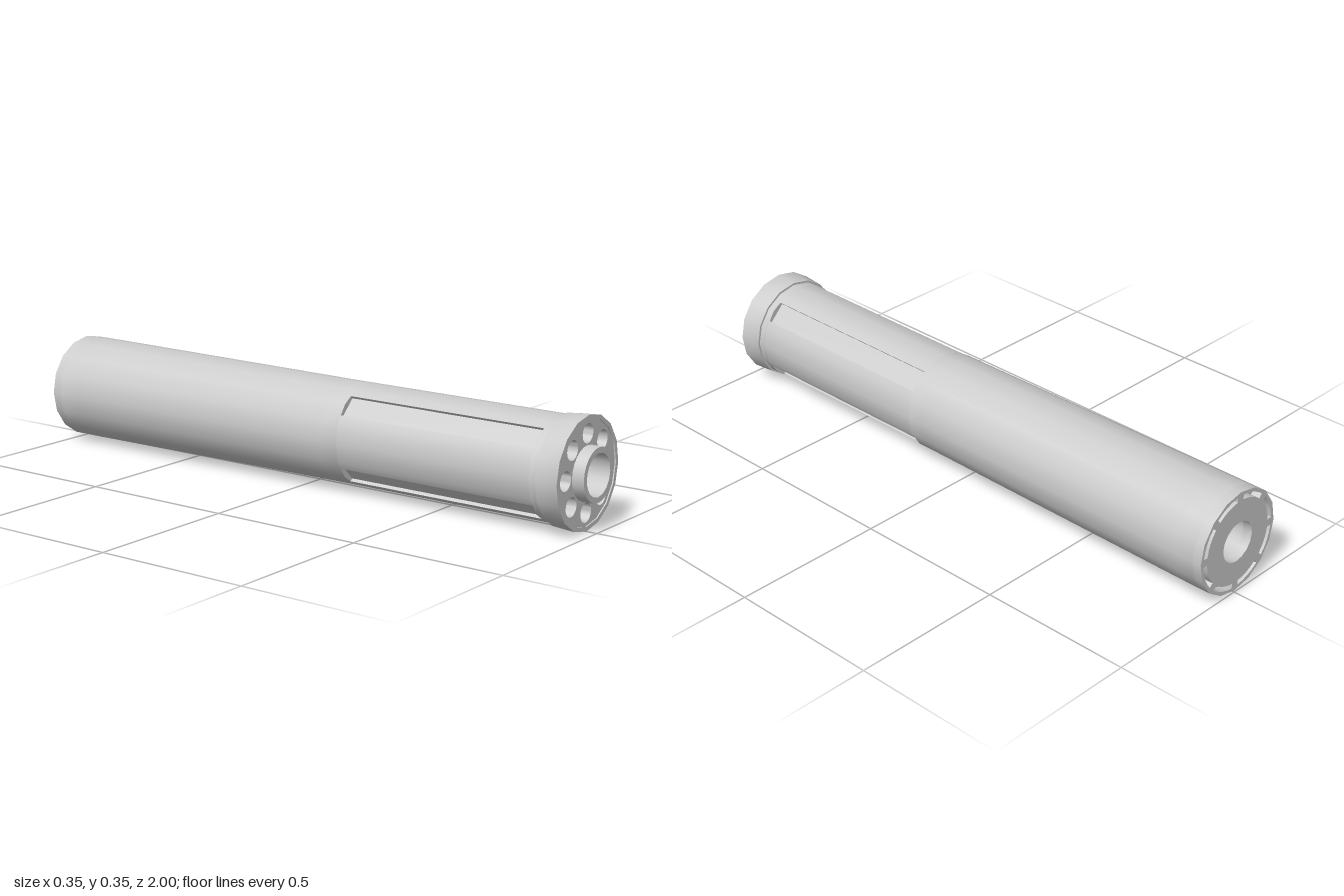
import * as THREE from 'three';
import { toCreasedNormals } from 'three/addons/utils/BufferGeometryUtils.js';

const SIDES = 16, BORE = 0.066, BODY = 0.161, REAR = 0.168;
const material = new THREE.MeshStandardMaterial({ color: 0xcccccc });
const polar = (r, deg) => {
  const a = THREE.MathUtils.degToRad(deg);
  return new THREE.Vector2(r * Math.cos(a), r * Math.sin(a));
};

// Regular polygon outline around (cx, cy)
const ring = (r, n = SIDES, centre = new THREE.Vector2()) =>
  Array.from({ length: n }, (_, i) => polar(r, (i * 360) / n).add(centre));

// Turned part along z; profile is [radius, z] running back to front for outward faces
function turned(name, profile, sides = SIDES) {
  const geo = new THREE.LatheGeometry(profile.map(([r, z]) => new THREE.Vector2(r, z)), sides);
  geo.rotateX(Math.PI / 2);
  return part(name, toCreasedNormals(geo, 0.6));
}

// Outline with holes, extruded from z0 to z1
function plate(name, outline, holes, z0, z1) {
  const shape = new THREE.Shape(outline);
  shape.holes = holes.map((pts) => new THREE.Path(pts));
  const geo = new THREE.ExtrudeGeometry(shape, { depth: z1 - z0, bevelEnabled: false });
  geo.translate(0, 0, z0);
  return part(name, toCreasedNormals(geo, 0.6));
}

function part(name, geometry) {
  const mesh = new THREE.Mesh(geometry, material);
  mesh.name = name;
  return mesh;
}

// Give near-radial faces on the body skin the same round shading as the turned parts
function roundShading(mesh, minRadius) {
  const p = mesh.geometry.attributes.position, n = mesh.geometry.attributes.normal;
  for (let i = 0; i < p.count; i++) {
    const r = Math.hypot(p.getX(i), p.getY(i));
    const x = p.getX(i) / r, y = p.getY(i) / r;
    if (r > minRadius && n.getX(i) * x + n.getY(i) * y > 0.9) n.setXYZ(i, x, y, 0);
  }
  return mesh;
}

// Body section with four long flat-bottomed grooves on the diagonals
function groovedOutline() {
  const pts = [];
  const depth = 0.011;
  const facet = (BODY * Math.cos(Math.PI / 16)) / Math.cos(THREE.MathUtils.degToRad(1.75));
  for (let q = 0; q < 360; q += 90) {
    const inward = polar(-depth, q + 45);
    const a = polar(facet, q + 32), b = polar(facet, q + 58);
    pts.push(polar(BODY, q), polar(BODY, q + 22.5), a, a.clone().add(inward),
      b.clone().add(inward), b, polar(BODY, q + 67.5));
  }
  return pts;
}

// Curved slot between two radii
function arcSlot(r0, r1, from, to, steps = 4) {
  const pts = [];
  for (let i = 0; i <= steps; i++) pts.push(polar(r1, from + ((to - from) * i) / steps));
  for (let i = steps; i >= 0; i--) pts.push(polar(r0, from + ((to - from) * i) / steps));
  return pts;
}

export function createModel() {
  const model = new THREE.Group();
  model.name = 'slottedTube';
  const tube = new THREE.Group();
  tube.name = 'tube';
  tube.position.y = 0.1735;
  model.add(tube);

  // Main body, widening slightly to the rear
  tube.add(turned('rearBody', [[BORE, -0.97], [REAR, -0.97], [REAR, -0.9], [BODY, 0.12], [BODY, 0.18], [0.1, 0.18]]));
  tube.add(roundShading(plate('groovedBody', groovedOutline(), [ring(0.08)], 0.18, 0.865), 0.155));
  tube.add(turned('frontBody', [[0.1, 0.865], [BODY, 0.865], [BODY, 0.9]]));

  // Rear end face with a ring of curved slots
  const slots = [];
  for (let a = 0; a < 360; a += 45) slots.push(arcSlot(0.139, 0.155, a + 5, a + 40));
  tube.add(roundShading(plate('rearFace', ring(REAR), [ring(BORE), ...slots], -1, -0.97), 0.16));

  // Front collar with raised lip
  tube.add(turned('frontCollar', [[0.15, 0.89], [0.168, 0.89], [0.1735, 0.965], [0.16, 0.965], [0.16, 0.955]]));

  // Front face with eight blind holes and their floor
  const holes = [];
  for (let a = 0; a < 360; a += 45) holes.push(ring(0.03, 24, polar(0.118, a)));
  tube.add(plate('frontFace', ring(0.1602), [ring(0.075), ...holes], 0.91, 0.961));
  tube.add(turned('holeFloor', [[0.16, 0.91], [0.07, 0.91]]));

  // Hub and through bore
  tube.add(turned('hub', [[0.083, 0.9], [0.083, 1], [BORE, 1]], 24));
  tube.add(turned('bore', [[BORE, 1], [BORE, -1]]));
  // Close the small gap between hub and bore outlines
  tube.add(turned('hubInnerRim', [[0.08, 0.9995], [BORE, 0.9995]]));
  return model;
}
